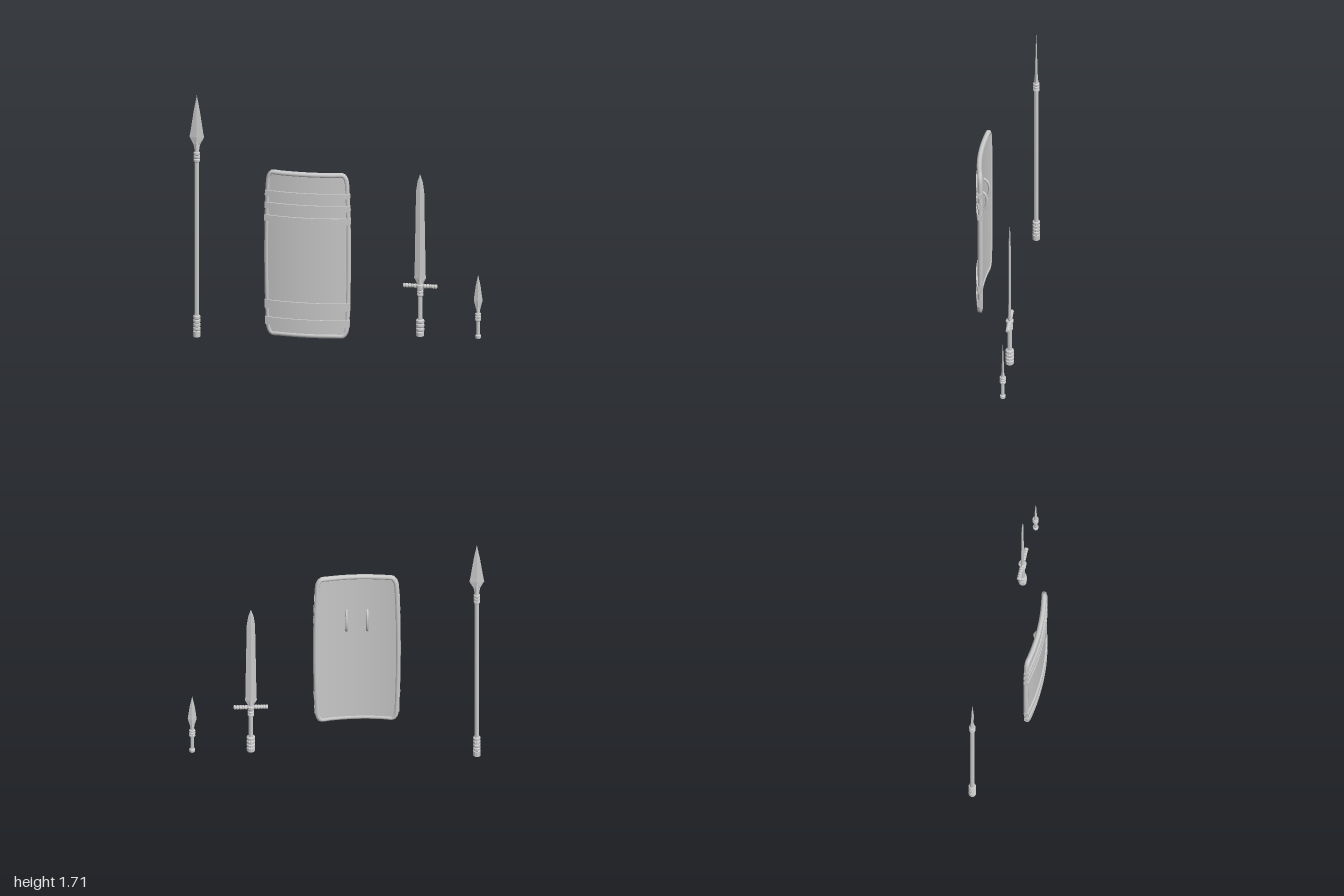
import * as THREE from 'three';
import { mergeVertices } from 'three/addons/utils/BufferGeometryUtils.js';

const smooth = new THREE.MeshStandardMaterial({ color: 0xcccccc });
const flat = new THREE.MeshStandardMaterial({ color: 0xcccccc, flatShading: true });

function add(parent, name, geometry, material = flat) {
  const mesh = new THREE.Mesh(geometry, material);
  mesh.name = name;
  parent.add(mesh);
  return mesh;
}

function group(parent, name, x = 0, y = 0, z = 0) {
  const g = new THREE.Group();
  g.name = name;
  g.position.set(x, y, z);
  parent.add(g);
  return g;
}

// Closed turned part from [radius, height] pairs
function turned(points, sides = 12) {
  const pts = [[0, points[0][1]], ...points, [0, points.at(-1)[1]]];
  return new THREE.LatheGeometry(pts.map(([r, y]) => new THREE.Vector2(r, y)), sides);
}

// Stack of n bevelled rings between y0 and y1
function rings(y0, y1, n, r, inner = 0.78) {
  const h = (y1 - y0) / n, pts = [];
  for (let i = 0; i < n; i++) {
    const y = y0 + i * h;
    pts.push([r * inner, y], [r, y + h * 0.2], [r, y + h * 0.75], [r * inner, y + h * 0.95]);
  }
  return turned(pts);
}

// Diamond-section blade from rows of [height, half width, half depth]
function blade(rows) {
  const pos = [], index = [];
  rows.forEach(([y, w, d], i) => {
    pos.push(w, y, 0, 0, y, d, -w, y, 0, 0, y, -d);
    if (!i) return;
    for (let k = 0; k < 4; k++) {
      const a = (i - 1) * 4 + k, b = (i - 1) * 4 + (k + 1) % 4;
      index.push(a, a + 4, b, b, a + 4, b + 4);
    }
  });
  index.push(0, 1, 2, 0, 2, 3);
  const g = new THREE.BufferGeometry();
  g.setAttribute('position', new THREE.Float32BufferAttribute(pos, 3));
  g.setIndex(index);
  g.computeVertexNormals();
  return g;
}

// Shield outline and curvature
const MID = 0.715, HALF = 0.585;
const halfWidth = y => {
  const t = Math.min(1, Math.abs(y - MID) / HALF);
  return 0.294 - 0.014 * t ** 2 - 0.024 * t ** 30;
};
const bend = x => 0.143 - 0.036 * (x / 0.294) ** 2;

// Curved slab following the shield between two heights and two depth offsets
function slab(y0, y1, back, front, extra, rows) {
  const g = new THREE.BoxGeometry(2, 1, 1, 28, rows, 1);
  const p = g.attributes.position;
  for (let i = 0; i < p.count; i++) {
    const y = y0 + (p.getY(i) + 0.5) * (y1 - y0);
    const x = p.getX(i) * (halfWidth(y) + extra);
    p.setXYZ(i, x, y, bend(x) + (p.getZ(i) > 0 ? front : back));
  }
  g.computeVertexNormals();
  return g;
}

function buildShield(root) {
  const shield = group(root, 'shield', -0.155);
  add(shield, 'shieldBody', slab(0.143, 1.287, -0.011, 0.011, -0.01, 40), smooth);

  // Rounded rim all the way round
  const pts = [];
  const inset = 0.016;
  const point = (x, y) => pts.push(new THREE.Vector3(x, y, bend(x)));
  for (const s of [1, -1]) {
    for (let i = -12; i <= 12; i++) {
      const t = Math.sin(i / 12 * Math.PI / 2);
      const y = MID + s * t * (HALF - inset);
      point(s * (halfWidth(MID + t * HALF) - inset), y);
    }
    const top = MID + s * (HALF - inset);
    for (let i = 1; i < 8; i++) point(s * 0.24 * (1 - i / 4), top);
  }
  const path = new THREE.CatmullRomCurve3(pts, true);
  add(shield, 'shieldRim', new THREE.TubeGeometry(path, 240, 0.0175, 10, true), smooth);

  // Raised cross bands on the front
  for (const [y0, y1] of [[1.12, 1.157], [1.03, 1.072], [0.94, 0.982], [0.322, 0.38], [0.205, 0.26]])
    add(shield, 'shieldBand', slab(y0, y1, -0.008, 0.023, 0.002, 1), smooth);

  // Pair of bowed grips on the back
  for (const x of [-0.07, 0.07]) {
    const z = bend(x) - 0.008;
    const arc = new THREE.CatmullRomCurve3([
      [0.855, 0], [0.885, -0.03], [0.94, -0.042], [0.995, -0.03], [1.025, 0],
    ].map(([y, dz]) => new THREE.Vector3(x, y, z + dz)));
    add(shield, 'shieldGrip', new THREE.TubeGeometry(arc, 20, 0.009, 8), smooth);
  }
}

function buildSpear(root) {
  const spear = group(root, 'spear', -0.95, 0, -0.14);
  add(spear, 'spearButt', turned([[0.026, 0], [0.026, 0.038], [0.02, 0.042]]));
  add(spear, 'spearButtRings', rings(0.042, 0.152, 4, 0.025));
  add(spear, 'spearShaft', turned([[0.0155, 0.03], [0.0155, 1.3]], 10));
  add(spear, 'spearCollar', rings(1.24, 1.312, 3, 0.022));
  add(spear, 'spearSocket', turned([[0.016, 1.3], [0.011, 1.37], [0.004, 1.43]], 10));
  add(spear, 'spearHead', blade([
    [1.31, 0.014, 0.01], [1.36, 0.022, 0.009], [1.415, 0.05, 0.009],
    [1.44, 0.045, 0.008], [1.6, 0.021, 0.005], [1.713, 0, 0],
  ]));
}

function buildSword(root) {
  const sword = group(root, 'sword', 0.57, 0, -0.14);
  add(sword, 'swordPommel', turned([[0.028, 0.087], [0.028, 0.115], [0.022, 0.119]]));
  add(sword, 'swordPommelRings', rings(0.119, 0.205, 3, 0.029));
  add(sword, 'swordGrip', turned([[0.0155, 0.1], [0.0155, 0.44]], 10));
  add(sword, 'swordCollar', rings(0.37, 0.43, 3, 0.022));
  // Ribbed crossguard: mirrored halves around a central block
  const guard = group(sword, 'swordGuard', 0, 0.44, 0);
  for (const s of [1, -1]) {
    const arm = add(guard, 'guardArm', rings(0.025, 0.117, 5, 0.015, 0.75));
    arm.rotation.z = -s * Math.PI / 2;
  }
  add(guard, 'guardCentre', turned([[0.024, -0.012], [0.027, -0.006], [0.027, 0.008], [0.02, 0.013]]));
  add(sword, 'swordSocket', turned([[0.016, 0.44], [0.011, 0.49], [0.004, 0.53]], 10));
  add(sword, 'swordBlade', blade([
    [0.44, 0.018, 0.011], [0.465, 0.024, 0.011], [0.497, 0.041, 0.01], [0.52, 0.038, 0.01],
    [1.11, 0.028, 0.007], [1.18, 0.018, 0.005], [1.235, 0, 0],
  ]));
}

function buildDagger(root) {
  const dagger = group(root, 'dagger', 0.965, 0, -0.14);
  add(dagger, 'daggerPommel', turned([[0.017, 0.09], [0.02, 0.095], [0.02, 0.112], [0.013, 0.118]]));
  add(dagger, 'daggerGrip', turned([[0.013, 0.1], [0.013, 0.26]], 10));
  add(dagger, 'daggerCollar', rings(0.215, 0.27, 3, 0.021));
  add(dagger, 'daggerSocket', turned([[0.013, 0.26], [0.009, 0.31], [0.003, 0.35]], 10));
  add(dagger, 'daggerBlade', blade([
    [0.265, 0.011, 0.009], [0.3, 0.015, 0.008], [0.357, 0.03, 0.008],
    [0.375, 0.028, 0.007], [0.46, 0.017, 0.005], [0.54, 0, 0],
  ]));
}

export function createModel() {
  const root = new THREE.Group();
  root.name = 'shieldAndWeapons';
  buildSpear(root);
  buildShield(root);
  buildSword(root);
  buildDagger(root);
  return root;
}
